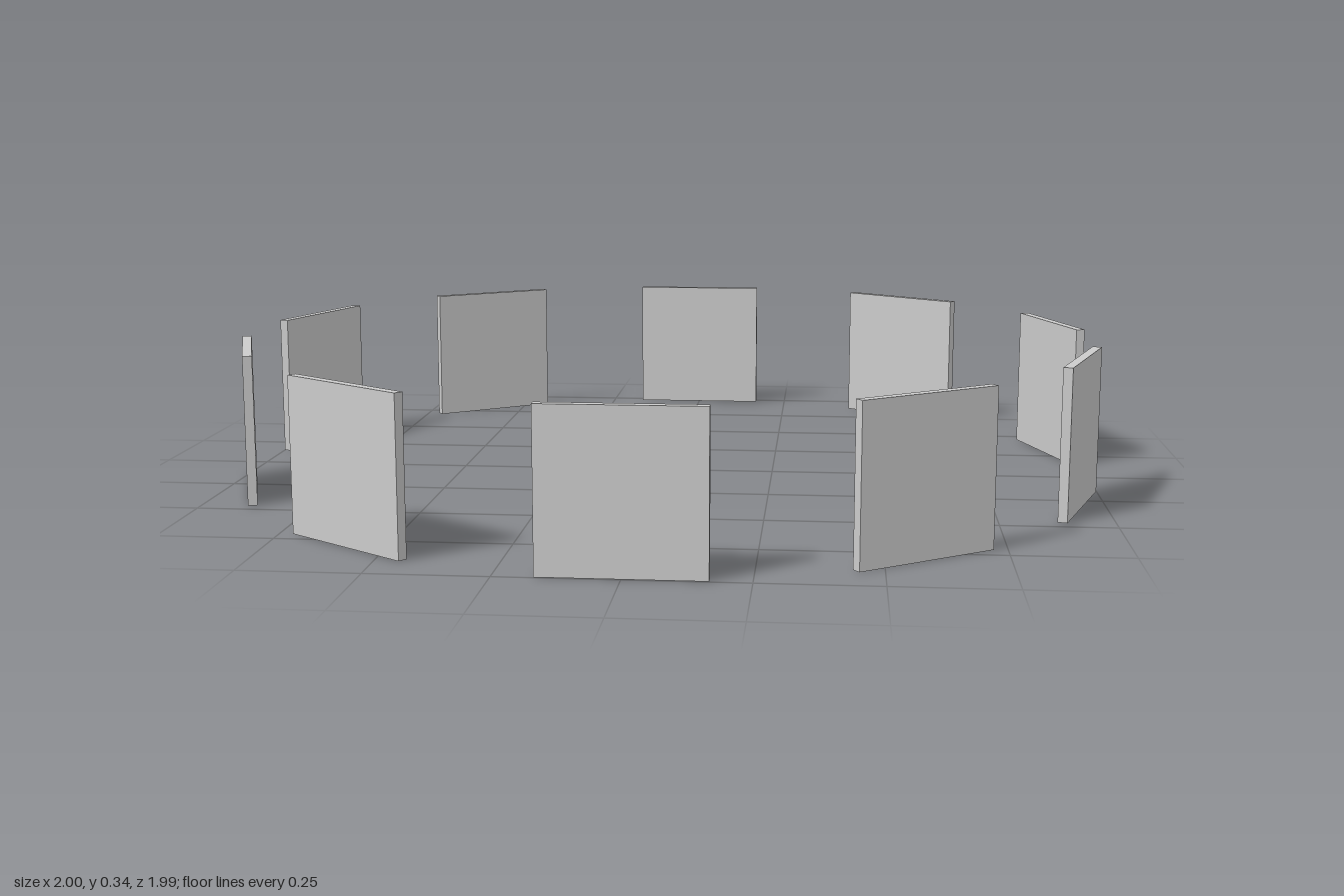
import * as THREE from 'three';

// Ring of ten thin square panels, each facing outward
export function createModel() {
  const group = new THREE.Group();
  group.name = 'panelRing';

  const count = 10;
  const size = 0.335;
  const thickness = 0.021;
  const radius = 0.986;

  const geometry = new THREE.BoxGeometry(size, size, thickness);
  const material = new THREE.MeshStandardMaterial({ color: 0xcccccc, flatShading: true });

  for (let i = 0; i < count; i++) {
    const angle = (i / count) * Math.PI * 2;
    const panel = new THREE.Mesh(geometry, material);
    panel.name = `panel${i + 1}`;
    panel.position.set(Math.sin(angle) * radius, size / 2, Math.cos(angle) * radius);
    panel.rotation.y = angle;
    group.add(panel);
  }
  return group;
}
